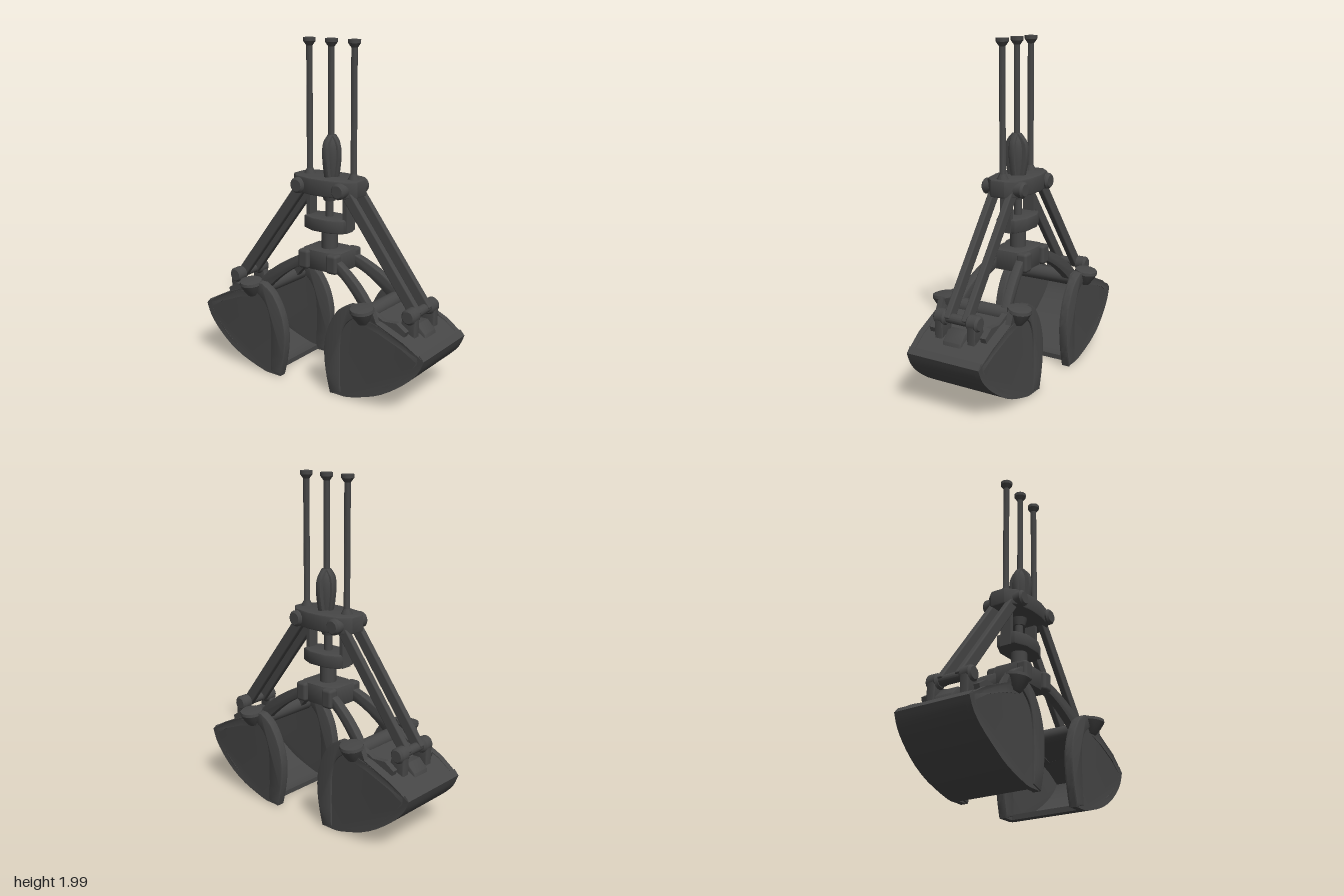
import * as THREE from 'three';
import { toCreasedNormals } from 'three/addons/utils/BufferGeometryUtils.js';
import { RoundedBoxGeometry } from 'three/addons/geometries/RoundedBoxGeometry.js';

const steel = new THREE.MeshStandardMaterial({ color: 0x464646 });
steel.name = 'darkSteel';

function add(parent, name, geometry, x = 0, y = 0, z = 0) {
  const mesh = new THREE.Mesh(geometry, steel);
  mesh.name = name;
  mesh.position.set(x, y, z);
  parent.add(mesh);
  return mesh;
}

const vecs = (list) => list.map(([x, y]) => new THREE.Vector2(x, y));

// Flat profile extruded symmetrically about z = 0
function slab(points, depth, bevel = 0) {
  const g = new THREE.ExtrudeGeometry(new THREE.Shape(points), {
    depth: depth - 2 * bevel, bevelEnabled: bevel > 0, bevelSize: bevel,
    bevelThickness: bevel, bevelOffset: -bevel, bevelSegments: 2,
  });
  g.translate(0, 0, -depth / 2 + bevel);
  return toCreasedNormals(g, 0.6);
}

const spline = (list, n) => new THREE.SplineCurve(vecs(list)).getPoints(n);

// Round pin lying along z
function pin(parent, name, x, y, z, r, length) {
  const profile = [[0, -length / 2], [r * 0.75, -length / 2], [r, -length / 2 + 0.012],
    [r, length / 2 - 0.012], [r * 0.75, length / 2], [0, length / 2]];
  const g = toCreasedNormals(new THREE.LatheGeometry(vecs(profile), 16), 0.6);
  g.rotateX(Math.PI / 2);
  return add(parent, name, g, x, y, z);
}

// Straight bar between two points in the xy plane
function bar(parent, name, [ax, ay], [bx, by], z, width, depth) {
  const length = Math.hypot(bx - ax, by - ay);
  const mesh = add(parent, name, new RoundedBoxGeometry(length, width, depth, 2, 0.008), (ax + bx) / 2, (ay + by) / 2, z);
  mesh.rotation.z = Math.atan2(by - ay, bx - ax);
}

// Horizontal plate with a tapered outline, mirrored in x and z
function headPlate(halfOutline, height) {
  const right = halfOutline;
  const left = [...halfOutline].reverse().map(([x, z]) => [-x, z]);
  const g = slab(vecs([...right, ...left]), height, 0.01);
  g.rotateX(-Math.PI / 2);
  return g;
}

// Three lifting rods with flared tops
function buildRods(root) {
  const rod = new THREE.LatheGeometry(vecs([[0, 1.18], [0.034, 1.18], [0.034, 1.22], [0.018, 1.25],
    [0.018, 1.955], [0.036, 1.98], [0.036, 2], [0, 2]]), 14);
  for (const x of [-0.142, 0.012, 0.168]) add(root, 'liftingRod', toCreasedNormals(rod, 0.5), x);
}

// Ribbed bulb on the central rod
function buildBulb(root) {
  const profile = (k) => spline([[0.036, 1.18], [0.05, 1.25], [0.06, 1.34], [0.052, 1.41], [0.02, 1.46]]
    .map(([x, y]) => [x * k, y]), 14);
  const core = [new THREE.Vector2(0, 1.18), ...profile(0.8), new THREE.Vector2(0, 1.46)];
  add(root, 'bulbCore', new THREE.LatheGeometry(core, 16), 0.015);
  for (const [k, angle] of [[1, 0], [1.22, Math.PI / 2]]) {
    const half = profile(k);
    const mirror = [...half].reverse().map((p) => new THREE.Vector2(-p.x, p.y));
    add(root, 'bulbRib', slab([...half, ...mirror], 0.034, 0.006), 0.015).rotation.y = angle;
  }
}

// Upper head, guide frame, ram and lower head
function buildCentre(root) {
  add(root, 'upperHead', headPlate([[0.05, -0.125], [0.17, -0.1], [0.225, -0.045],
    [0.225, 0.045], [0.17, 0.1], [0.05, 0.125]], 0.1), 0, 1.17);
  add(root, 'guideBlock', headPlate([[0.06, -0.095], [0.14, -0.06],
    [0.14, 0.06], [0.06, 0.095]], 0.08), 0, 0.94);
  add(root, 'lowerHead', headPlate([[0.06, -0.11], [0.135, -0.075],
    [0.135, 0.075], [0.06, 0.11]], 0.12), 0, 0.73);
  add(root, 'upperRam', new THREE.CylinderGeometry(0.024, 0.024, 0.2, 16), 0, 1.05);
  add(root, 'ramCollar', new THREE.CylinderGeometry(0.05, 0.035, 0.05, 16), 0, 1.1);
  add(root, 'lowerRam', new THREE.CylinderGeometry(0.048, 0.048, 0.16, 18), 0, 0.84);
  for (const s of [-1, 1]) {
    add(root, 'guideStrap', new THREE.BoxGeometry(0.026, 0.24, 0.07), s * 0.13, 1.02);
    for (const t of [-1, 1]) {
      pin(root, 'upperHeadPin', s * 0.145, 1.165, t * 0.1, 0.047, 0.07);
      add(root, 'lowerHeadLug', new RoundedBoxGeometry(0.075, 0.115, 0.07, 2, 0.018), s * 0.1, 0.73, t * 0.1);
    }
  }
}

// One scoop with its arms, built on the +x side
function buildSide(name) {
  const side = new THREE.Group();
  side.name = name;

  const mouth = spline([[0.185, 0.008], [0.16, 0.11], [0.145, 0.22], [0.148, 0.32], [0.18, 0.43],
    [0.24, 0.525], [0.31, 0.57]], 20);
  const bottom = spline([[0.785, 0.345], [0.745, 0.262], [0.65, 0.17], [0.5, 0.075], [0.32, 0.015], [0.25, 0.008]], 16);
  const outline = [...mouth, ...vecs([[0.46, 0.57], [0.49, 0.5], [0.66, 0.425]]), ...bottom].reverse();

  // Narrow the scoop slightly towards its outer end
  const taper = (g) => {
    const p = g.attributes.position;
    for (let i = 0; i < p.count; i++) {
      const k = Math.max(0, p.getX(i) - 0.6) * 0.35;
      p.setZ(i, p.getZ(i) * (1 - k));
    }
    g.computeVertexNormals();
    return toCreasedNormals(g, 0.6);
  };

  const inner = [...bottom].reverse().map((p) => new THREE.Vector2(p.x - (p.x - 0.22) * 0.05, p.y + 0.03));
  add(side, 'scoopFloor', taper(slab([...bottom, ...inner], 0.49)));
  add(side, 'scoopRoof', taper(slab(vecs([[0.785, 0.345], [0.66, 0.42], [0.5, 0.485], [0.4, 0.51],
    [0.4, 0.47], [0.5, 0.445], [0.65, 0.385], [0.76, 0.315]]), 0.49)));

  // Raised rim band that follows the mouth of each cheek plate
  const rimInner = spline([[0.255, 0.03], [0.25, 0.2], [0.255, 0.35], [0.29, 0.45], [0.36, 0.51]], 18);
  const rim = [...mouth, new THREE.Vector2(0.4, 0.57), ...rimInner.reverse()].reverse();

  for (const t of [-1, 1]) {
    const cheek = slab(outline, 0.035);
    cheek.translate(0, 0, t * 0.23);
    add(side, 'scoopCheek', taper(cheek));
    add(side, 'mouthRim', slab(rim, 0.055, 0.006), 0, 0, t * 0.2285);

    // Flared ear at the scoop hinge
    const ear = new THREE.LatheGeometry(vecs([[0, -0.05], [0.03, -0.05], [0.052, -0.015],
      [0.07, 0.025], [0.066, 0.042], [0, 0.05]]), 16);
    add(side, 'hingeEar', toCreasedNormals(ear, 0.6), 0.4, 0.53, t * 0.245).rotation.x = t * 0.15;

    // Arched lower arm, splayed outwards towards the scoop
    const archTop = spline([[0.09, 0.76], [0.16, 0.735], [0.27, 0.67], [0.36, 0.595], [0.42, 0.52]], 16);
    const archLow = spline([[0.37, 0.47], [0.32, 0.535], [0.24, 0.61], [0.16, 0.665], [0.09, 0.69]], 16);
    const arm = slab([...archTop, ...archLow].reverse(), 0.05, 0.006);
    const p = arm.attributes.position;
    for (let i = 0; i < p.count; i++) p.setZ(i, p.getZ(i) + t * (0.08 + (p.getX(i) - 0.09) * 0.24));
    add(side, 'lowerArm', arm);

    // Upper arm and its outer pivot
    bar(side, 'upperArm', [0.145, 1.165], [0.635, 0.52], t * 0.058, 0.066, 0.038);
    pin(side, 'outerPivot', 0.625, 0.53, t * 0.105, 0.045, 0.075);
    add(side, 'pivotLug', slab(vecs([[0.56, 0.42], [0.665, 0.4], [0.668, 0.54], [0.645, 0.57], [0.61, 0.57], [0.585, 0.52]]),
      0.05, 0.008), 0, 0, t * 0.105);
    // Low stiffener running from the pivot to the hinge beam
    add(side, 'roofStiffener', slab(vecs([[0.4, 0.47], [0.62, 0.4], [0.64, 0.46], [0.58, 0.5], [0.5, 0.495], [0.4, 0.54]]),
      0.035), 0, 0, t * 0.165);
  }
  pin(side, 'outerPivotShaft', 0.625, 0.53, 0, 0.028, 0.2);
  pin(side, 'hingeBeam', 0.38, 0.51, 0, 0.045, 0.46);
  add(side, 'roofPad', slab(vecs([[0.59, 0.42], [0.7, 0.375], [0.69, 0.42], [0.64, 0.47], [0.6, 0.47]]), 0.12, 0.008));
  return side;
}

export function createModel() {
  const root = new THREE.Group();
  root.name = 'clamshellGrab';
  buildRods(root);
  buildBulb(root);
  buildCentre(root);
  const left = buildSide('leftScoop');
  const right = buildSide('rightScoop');
  right.rotation.y = Math.PI;
  root.add(left, right);
  return root;
}
